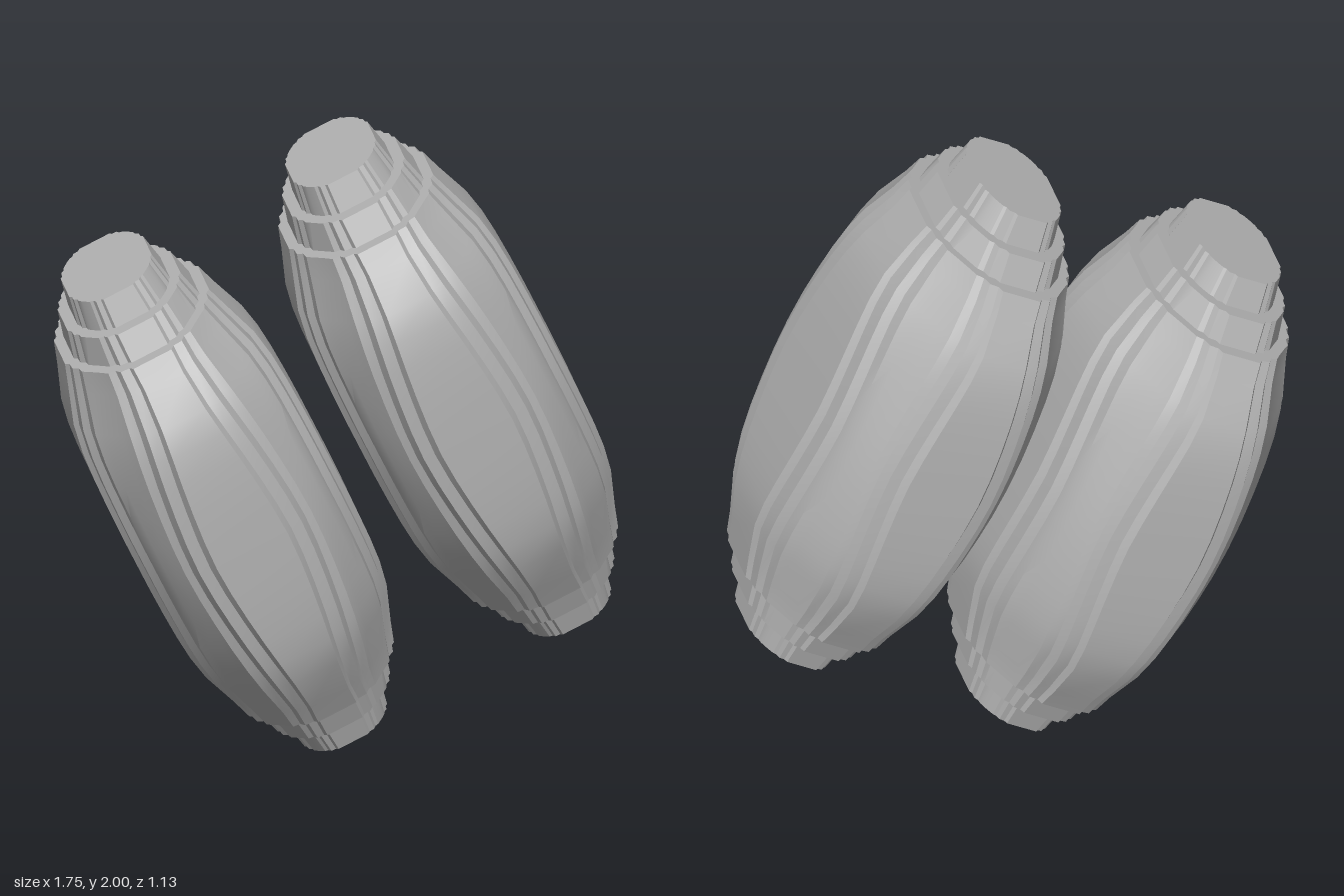
import * as THREE from 'three';
import { toCreasedNormals } from 'three/addons/utils/BufferGeometryUtils.js';

const HALF_X = 0.345, HALF_Z = 0.565;

// Stepped outlines for one eighth of the cross-section: wide at the waist, narrow near the ends
const WAIST = [[1, 0.36], [0.95, 0.41], [0.94, 0.52], [0.87, 0.57], [0.85, 0.64], [0.79, 0.71]];
const SHOULDER = [[1, 0.24], [0.95, 0.28], [0.94, 0.4], [0.87, 0.45], [0.85, 0.55], [0.77, 0.62]];

// Half profile from the waist to the end: height, scale, blend from waist to shoulder outline
const PROFILE = [
  [0, 1, 0], [0.1, 1, 0.1], [0.2, 0.995, 0.3], [0.3, 0.985, 0.55], [0.39, 0.965, 0.8],
  [0.48, 0.92, 1], [0.6, 0.8, 1], [0.67, 0.735, 0.8],
  [0.67, 0.64, 0.6], [0.76, 0.575, 0.4],
  [0.76, 0.47, 0], [0.853, 0.42, 0],
];

// Full closed outline, mirrored about the diagonal and turned through four quarters
function outline(blend) {
  const eighth = WAIST.map(([x, z], i) => [
    THREE.MathUtils.lerp(x, SHOULDER[i][0], blend),
    THREE.MathUtils.lerp(z, SHOULDER[i][1], blend),
  ]);
  const quarter = [...eighth, ...eighth.map(([x, z]) => [z, x]).reverse()];
  const reversed = [...quarter].reverse();
  return [
    ...quarter,
    ...reversed.map(([x, z]) => [-x, z]),
    ...quarter.map(([x, z]) => [-x, -z]),
    ...reversed.map(([x, z]) => [x, -z]),
  ];
}

function terracedGeometry() {
  const rings = [
    ...PROFILE.slice(1).reverse().map(([y, s, b]) => [-y, s, b]),
    ...PROFILE,
  ];
  const positions = [], index = [];
  for (const [y, s, b] of rings) {
    for (const [x, z] of outline(b)) positions.push(x * s * HALF_X, y, z * s * HALF_Z);
  }
  const n = positions.length / 3 / rings.length;
  for (let r = 0; r < rings.length - 1; r++) {
    for (let i = 0; i < n; i++) {
      const a = r * n + i, b = r * n + (i + 1) % n;
      index.push(a, a + n, b, b, a + n, b + n);
    }
  }
  // Flat ends
  const last = (rings.length - 1) * n;
  const bottom = positions.length / 3, top = bottom + 1;
  positions.push(0, rings[0][0], 0, 0, rings[rings.length - 1][0], 0);
  for (let i = 0; i < n; i++) {
    const j = (i + 1) % n;
    index.push(bottom, i, j, top, last + j, last + i);
  }
  const geometry = new THREE.BufferGeometry();
  geometry.setAttribute('position', new THREE.Float32BufferAttribute(positions, 3));
  geometry.setIndex(index);
  return toCreasedNormals(geometry, 0.4);
}

export function createModel() {
  const model = new THREE.Group();
  model.name = 'terracedPods';
  const stone = new THREE.MeshStandardMaterial({ color: 0xb2b2b2 });
  stone.name = 'light grey';
  const geometry = terracedGeometry();

  // Two matching pods, tilted the same way, one higher than the other
  for (const [name, x, y] of [['leftPod', 0.355, 1.17], ['rightPod', -0.355, 0.83]]) {
    const pod = new THREE.Mesh(geometry, stone);
    pod.name = name;
    pod.position.set(x, y, 0);
    pod.rotation.z = THREE.MathUtils.degToRad(25.9);
    model.add(pod);
  }
  return model;
}
